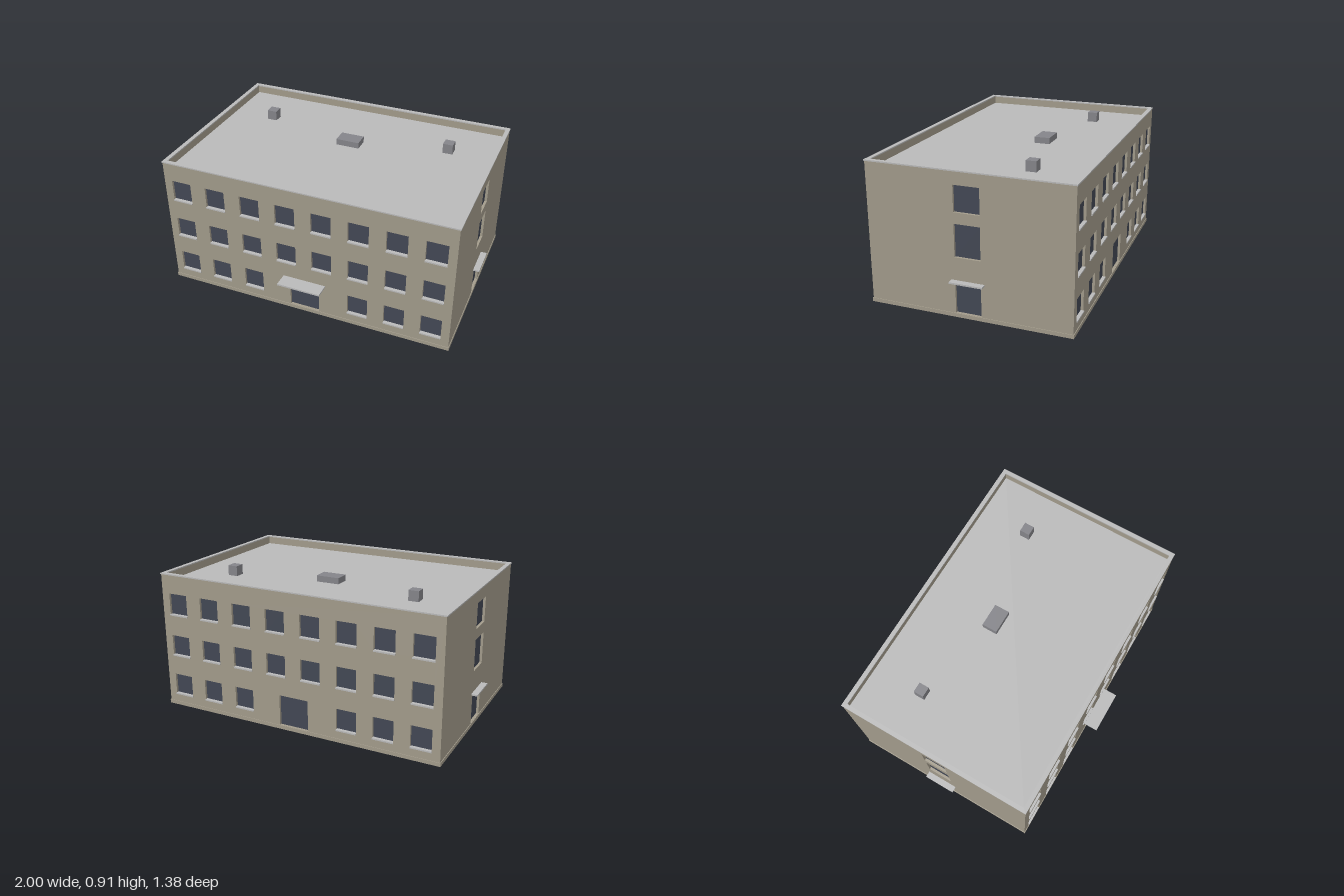
import * as THREE from 'three';

const material = (name, color) => new THREE.MeshStandardMaterial({ name, color });

export function createModel() {
  const wallMat = material('beige wall', 0xa39c8c);
  const trimMat = material('light grey roof and trim', 0xbababa);
  const glassMat = material('dark glass', 0x434855);
  const ventMat = material('mid grey vents', 0x85858a);

  const HX = 0.96, HZ = 0.638, CZ = -0.045; // half sizes and centre of the block
  const T = 0.022, TOP = 0.897, RECESS = 0.016, ROOF = 0.847;

  const model = new THREE.Group();
  model.name = 'building';

  // Box from minimum and maximum corners
  function box(parent, name, mat, x0, x1, y0, y1, z0, z1) {
    const mesh = new THREE.Mesh(new THREE.BoxGeometry(x1 - x0, y1 - y0, z1 - z0), mat);
    mesh.position.set((x0 + x1) / 2, (y0 + y1) / 2, (z0 + z1) / 2);
    mesh.name = name;
    parent.add(mesh);
    return mesh;
  }

  function rectangle(Type, x0, x1, y0, y1) {
    const s = new Type();
    s.moveTo(x0, y0);
    s.lineTo(x1, y0);
    s.lineTo(x1, y1);
    s.lineTo(x0, y1);
    s.closePath();
    return s;
  }

  // Rectangular ring lying flat, used for the plinth and the parapet cap
  function ring(name, mat, hx, hz, innerX, innerZ, y, height) {
    const shape = rectangle(THREE.Shape, -hx, hx, -hz, hz);
    shape.holes.push(rectangle(THREE.Path, -innerX, innerX, -innerZ, innerZ));
    const geometry = new THREE.ExtrudeGeometry(shape, { depth: height, bevelEnabled: false });
    geometry.rotateX(-Math.PI / 2);
    const mesh = new THREE.Mesh(geometry, mat);
    mesh.position.set(0, y, CZ);
    mesh.name = name;
    model.add(mesh);
  }

  // Wall with recessed panes; its outer face is the local plane z = 0
  function wall(name, half, openings, x, z, turn) {
    const group = new THREE.Group();
    group.name = name;
    const shape = rectangle(THREE.Shape, -half, half, 0, TOP);
    for (const o of openings) {
      const [x0, x1] = [o.x - o.w / 2, o.x + o.w / 2];
      shape.holes.push(rectangle(THREE.Path, x0, x1, o.y0, o.y1));
      box(group, o.name, glassMat, x0, x1, o.y0, o.y1, -T, -RECESS);
      if (o.sill) {
        box(group, 'windowSill', trimMat, x0 - 0.001, x1 + 0.001, o.y0 - 0.008, o.y0 + 0.001, -RECESS, 0.006);
      }
    }
    const geometry = new THREE.ExtrudeGeometry(shape, { depth: T, bevelEnabled: false });
    geometry.translate(0, 0, -T);
    const panel = new THREE.Mesh(geometry, wallMat);
    panel.name = name + 'Panel';
    group.add(panel);
    group.position.set(x, 0, z);
    group.rotation.y = turn;
    model.add(group);
  }

  // Long facades: three rows of windows, with a door replacing the middle pair
  const long = [{ name: 'door', x: 0, w: 0.2, y0: 0.025, y1: 0.227 }];
  [[0.083, 0.22], [0.358, 0.492], [0.636, 0.775]].forEach(([y0, y1], row) => {
    for (const x of [0.12, 0.361, 0.602, 0.84]) {
      if (row === 0 && x < 0.2) continue;
      for (const side of [-1, 1]) long.push({ name: 'window', x: side * x, w: 0.133, y0, y1, sill: true });
    }
  });
  wall('frontWall', HX, long, 0, CZ + HZ, 0);
  wall('backWall', HX, long, 0, CZ - HZ, Math.PI);

  // End walls: a door below two stair windows
  const end = [
    { name: 'sideDoor', x: 0, w: 0.162, y0: 0.025, y1: 0.22 },
    { name: 'stairWindow', x: 0, w: 0.162, y0: 0.38, y1: 0.586 },
    { name: 'stairWindow', x: 0, w: 0.162, y0: 0.655, y1: 0.818 },
  ];
  for (const side of [-1, 1]) wall(side > 0 ? 'leftWall' : 'rightWall', HZ - T, end, side * HX, CZ, side * Math.PI / 2);

  // Base, plinth, sunken roof and parapet cap
  box(model, 'floor', wallMat, -HX + T, HX - T, 0, 0.02, CZ - HZ + T, CZ + HZ - T);
  ring('plinth', wallMat, HX + 0.004, HZ + 0.004, HX - 0.01, HZ - 0.01, 0, 0.024);
  box(model, 'roof', trimMat, -HX + T, HX - T, ROOF - 0.02, ROOF, CZ - HZ + T, CZ + HZ - T);
  ring('parapetCap', trimMat, HX + 0.004, HZ + 0.004, HX - T - 0.002, HZ - T - 0.002, TOP, 0.008);

  // Entrance canopies
  box(model, 'frontCanopy', trimMat, -0.144, 0.144, 0.235, 0.246, CZ + HZ, 0.687);
  box(model, 'leftCanopy', trimMat, HX, 1, 0.227, 0.237, -0.149, 0.059);
  box(model, 'rightCanopy', trimMat, -1, -HX, 0.227, 0.237, -0.149, 0.059);

  // Rooftop vents and hatch
  for (const x of [-0.638, 0.638]) box(model, 'roofVent', ventMat, x - 0.033, x + 0.033, ROOF, 0.913, -0.355, -0.289);
  box(model, 'roofHatch', ventMat, -0.079, 0.077, ROOF, 0.887, -0.229, -0.129);

  return model;
}
